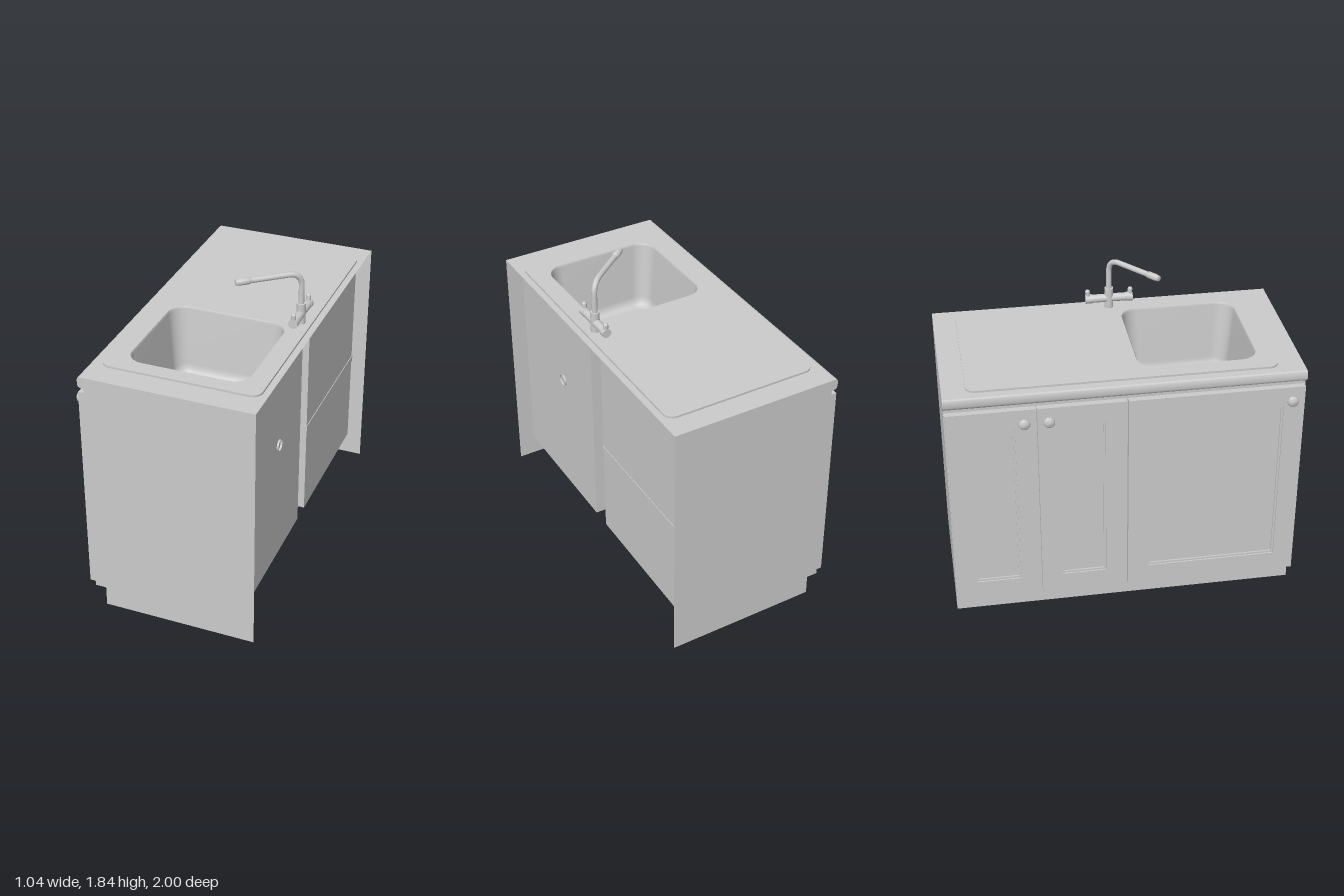
import * as THREE from 'three';
import { toCreasedNormals } from 'three/addons/utils/BufferGeometryUtils.js';

const grey = new THREE.MeshStandardMaterial({ color: 0xcccccc });
const sheet = new THREE.MeshStandardMaterial({ color: 0xcccccc, side: THREE.DoubleSide });
const V = (x, y, z) => new THREE.Vector3(x, y, z);

function add(parent, name, geometry, position = [0, 0, 0], material = grey) {
  const mesh = new THREE.Mesh(geometry, material);
  mesh.name = name;
  mesh.position.set(...position);
  parent.add(mesh);
  return mesh;
}

// Box given by its minimum and maximum corners
function addBox(parent, name, a, b, material = grey) {
  const size = a.map((v, i) => b[i] - v), mid = a.map((v, i) => (v + b[i]) / 2);
  return add(parent, name, new THREE.BoxGeometry(...size), mid, material);
}

// Corner points of a rounded rectangle, in order
function roundedPoints(x0, x1, y0, y1, r, steps = 8) {
  const corners = [[x1 - r, y1 - r], [x0 + r, y1 - r], [x0 + r, y0 + r], [x1 - r, y0 + r]];
  const points = [];
  corners.forEach(([cx, cy], q) => {
    for (let i = 0; i <= steps; i++) {
      const a = (q + i / steps) * Math.PI / 2;
      points.push(new THREE.Vector2(cx + r * Math.cos(a), cy + r * Math.sin(a)));
    }
  });
  return points;
}

const rectPoints = (x0, x1, y0, y1) =>
  [[x0, y0], [x1, y0], [x1, y1], [x0, y1]].map(p => new THREE.Vector2(...p));

// Bowl opening in x and z
const bowl = { x0: -0.315, x1: 0.375, z0: 0.09, z1: 0.765 };
const bowlRing = (d, r) => roundedPoints(bowl.x0 + d, bowl.x1 - d, bowl.z0 + d, bowl.z1 - d, r);

// Shell: one profile swept along z, closed by the side sheets, open behind and below
function addShell(group) {
  const profile = [[0.52, 1.5], [-0.465, 1.5], [-0.476, 1.496], [-0.48, 1.485], [-0.48, 1.455],
    [-0.476, 1.443], [-0.465, 1.435], [-0.445, 1.435], [-0.445, 0.12], [-0.38, 0.12], [-0.38, 0]];
  const side = new THREE.Shape([...profile, [0.52, 0]].map(p => new THREE.Vector2(...p)));
  for (const z of [-1, 1]) add(group, 'sidePanel', new THREE.ShapeGeometry(side), [0, 0, z], sheet);

  const positions = [], index = [];
  profile.slice(1).forEach(([x, y], i) => {
    positions.push(x, y, 1, x, y, -1);
    const k = 2 * i;
    if (i) index.push(k - 2, k - 1, k, k, k - 1, k + 1);
  });
  const front = new THREE.BufferGeometry();
  front.setAttribute('position', new THREE.Float32BufferAttribute(positions, 3));
  front.setIndex(index);
  add(group, 'frontAndPlinth', toCreasedNormals(front, 0.8), [0, 0, 0], sheet);

  const top = new THREE.Shape(rectPoints(-0.465, 0.52, -1, 1));
  top.holes.push(new THREE.Path(bowlRing(-0.003, 0.1)));
  add(group, 'worktop', new THREE.ShapeGeometry(top).rotateX(Math.PI / 2), [0, 1.5, 0], sheet);
}

// Storage boxes behind the doors
function addCompartments(group) {
  const sinkBox = addBox(group, 'sinkCompartment', [-0.44, 0.18, 0.06], [0.445, 1.385, 0.94], sheet);
  const faces = Array.from(sinkBox.geometry.index.array);
  faces.splice(12, 6); // open top
  sinkBox.geometry.setIndex(faces);
  sinkBox.geometry.clearGroups();
  addBox(group, 'shelfCompartment', [-0.44, 0.18, -0.94], [0.445, 1.385, -0.06], sheet);
  addBox(group, 'shelf', [-0.43, 0.737, -0.945], [0.449, 0.775, -0.055]);
}

// Framed door with a recessed, stepped panel and a round knob
function addDoor(group, z0, z1, knobZ) {
  const door = new THREE.Group();
  door.name = 'door';
  const y0 = 0.145, y1 = 1.405, w = 0.13;
  const frameLayer = (name, a, b, depth, x) => {
    const shape = new THREE.Shape(rectPoints(z0 + a, z1 - a, y0 + a, y1 - a));
    shape.holes.push(new THREE.Path(rectPoints(z0 + b, z1 - b, y0 + b, y1 - b)));
    const geo = new THREE.ExtrudeGeometry(shape, { depth, bevelEnabled: false });
    add(door, name, geo.rotateY(-Math.PI / 2), [x, 0, 0]);
  };
  frameLayer('doorFrame', 0, w - 0.012, 0.035, -0.445);
  frameLayer('doorMoulding', w - 0.012, w, 0.027, -0.445);
  addBox(door, 'doorPanel', [-0.463, y0 + w, z0 + w], [-0.445, y1 - w, z1 - w]);
  const profile = [[0.016, 0], [0.011, 0.006], [0.01, 0.015], [0.026, 0.019], [0.032, 0.026],
    [0.03, 0.034], [0.02, 0.041], [0, 0.044]].map(p => new THREE.Vector2(...p));
  add(door, 'knob', new THREE.LatheGeometry(profile, 24).rotateZ(Math.PI / 2), [-0.48, 1.33, knobZ]);
  group.add(door);
}

// Raised steel plate, tapered bowl and waste pipe
function addSink(group) {
  const sink = new THREE.Group();
  sink.name = 'sink';
  const plate = new THREE.Shape(roundedPoints(-0.417, 0.483, -0.87, 0.857, 0.055));
  plate.holes.push(new THREE.Path(bowlRing(0, 0.1)));
  const plateGeo = new THREE.ExtrudeGeometry(plate, { depth: 0.012, bevelEnabled: false });
  add(sink, 'sinkPlate', plateGeo.rotateX(Math.PI / 2), [0, 1.512, 0]);

  // rings: inset, height, corner radius
  const rings = [[0, 1.512, 0.1], [0.006, 1.5, 0.097], [0.035, 1.16, 0.085], [0.039, 1.135, 0.08],
    [0.05, 1.115, 0.075], [0.066, 1.104, 0.065], [0.085, 1.1, 0.05], [0.325, 1.099, 0.005]];
  const positions = [], index = [];
  rings.forEach(([d, y, r]) => bowlRing(d, r).forEach(p => positions.push(p.x, y, p.y)));
  const n = bowlRing(0, 0.1).length, last = rings.length - 1;
  for (let j = 0; j < last; j++) {
    for (let i = 0; i < n; i++) {
      const a = j * n + i, b = j * n + (i + 1) % n;
      index.push(a, b, a + n, b, b + n, a + n);
    }
  }
  for (let i = 1; i < n - 1; i++) index.push(last * n, last * n + i, last * n + i + 1);
  const geo = new THREE.BufferGeometry();
  geo.setAttribute('position', new THREE.Float32BufferAttribute(positions, 3));
  geo.setIndex(index);
  geo.computeVertexNormals();
  add(sink, 'bowl', geo, [0, 0, 0], sheet);

  add(sink, 'drain', new THREE.CylinderGeometry(0.034, 0.034, 0.02, 32), [0.03, 1.093, 0.3]);
  const waste = new THREE.CatmullRomCurve3([V(0.03, 1.09, 0.3), V(0.03, 1, 0.31), V(0.06, 0.95, 0.33),
    V(0.2, 0.945, 0.38), V(0.38, 0.945, 0.43), V(0.455, 0.945, 0.43)]);
  add(sink, 'wastePipe', new THREE.TubeGeometry(waste, 40, 0.033, 20), [0, 0, 0], sheet);
  const overflow = new THREE.CapsuleGeometry(0.025, 0.2, 6, 16);
  add(sink, 'overflowPipe', overflow, [0.03, 1.235, 0.07]);
  group.add(sink);
}

// Mixer tap with two lever handles and a spout turned over the bowl
function addTap(group) {
  const tap = new THREE.Group();
  tap.name = 'tap';
  tap.position.set(0.422, 0, 0.037);
  add(tap, 'tapBase', new THREE.CylinderGeometry(0.026, 0.026, 0.13, 24), [0, 1.57, 0]);
  add(tap, 'crossBody', new THREE.CylinderGeometry(0.024, 0.024, 0.22, 24).rotateX(Math.PI / 2), [0, 1.57, 0]);
  for (const s of [-1, 1]) {
    add(tap, 'valve', new THREE.CylinderGeometry(0.027, 0.027, 0.036, 24).rotateX(Math.PI / 2), [0, 1.57, s * 0.121]);
    const lever = add(tap, 'lever', new THREE.CapsuleGeometry(0.014, 0.06, 6, 16), [0, 1.588, s * 0.124]);
    lever.rotation.x = s * 0.08;
  }
  const spout = new THREE.Group();
  spout.name = 'spout';
  spout.rotation.y = Math.atan2(-0.245, -0.3);
  spout.rotation.y = -Math.atan2(0.245, -0.3);
  const path = new THREE.CurvePath();
  path.add(new THREE.LineCurve3(V(0, 1.62, 0), V(0, 1.74, 0)));
  path.add(new THREE.QuadraticBezierCurve3(V(0, 1.74, 0), V(0, 1.82, 0), V(0.08, 1.82, 0)));
  path.add(new THREE.LineCurve3(V(0.08, 1.82, 0), V(0.31, 1.82, 0)));
  add(spout, 'spoutPipe', new THREE.TubeGeometry(path, 60, 0.016, 16));
  const tip = [[0, 0], [0.016, 0], [0.02, 0.006], [0.02, 0.06], [0.016, 0.085], [0, 0.09]]
    .map(p => new THREE.Vector2(...p));
  const tipGeo = toCreasedNormals(new THREE.LatheGeometry(tip, 20).rotateZ(-Math.PI / 2), 0.6);
  add(spout, 'spoutTip', tipGeo, [0.295, 1.82, 0]);
  tap.add(spout);
  group.add(tap);
}

export function createModel() {
  const group = new THREE.Group();
  group.name = 'sinkCabinet';
  addShell(group);
  addCompartments(group);
  addDoor(group, -0.995, -0.503, -0.57);
  addDoor(group, -0.497, -0.005, -0.435);
  addDoor(group, 0.005, 0.995, 0.92);
  addSink(group);
  addTap(group);
  return group;
}
